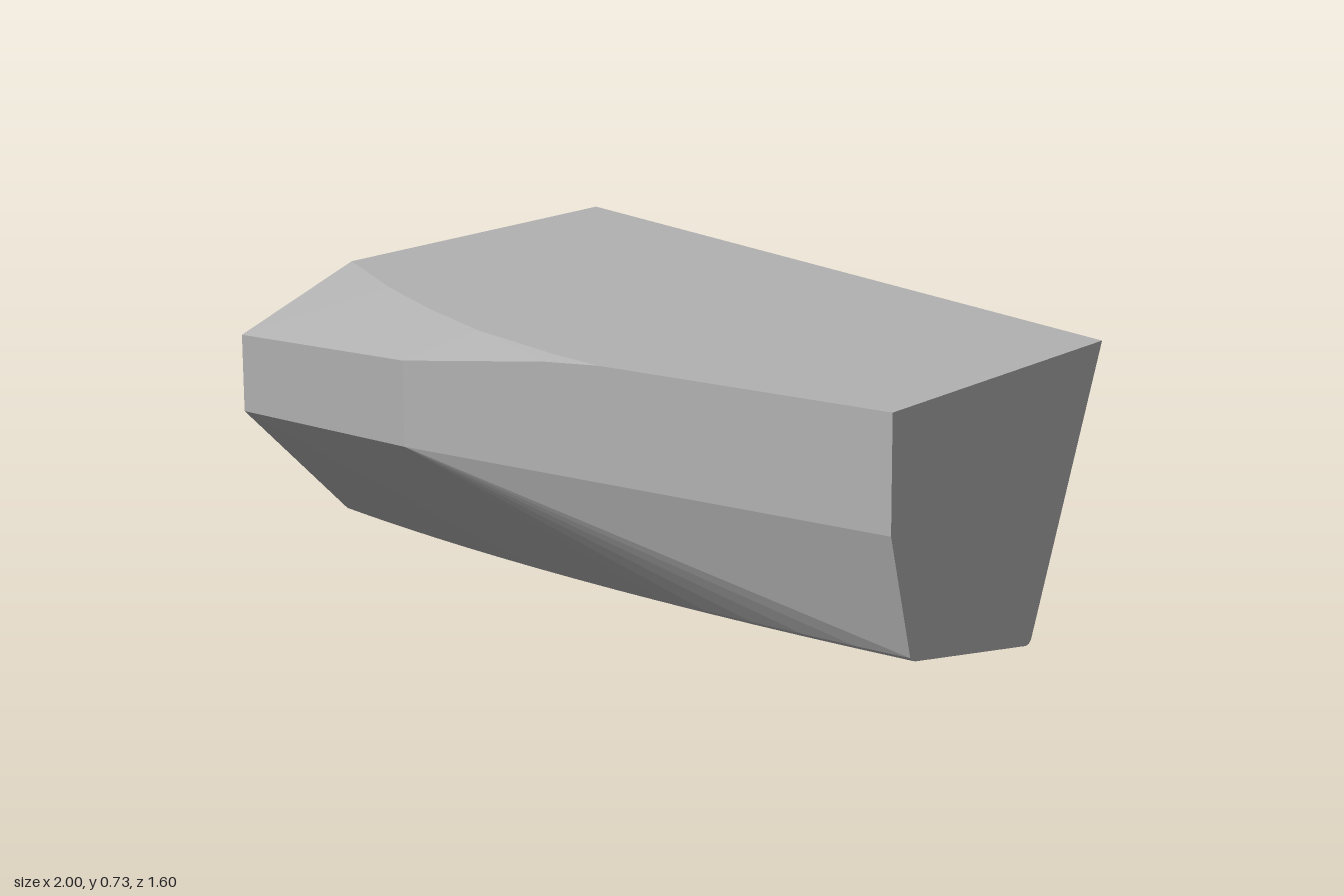
import * as THREE from 'three';
import { ConvexGeometry } from 'three/addons/geometries/ConvexGeometry.js';

export function createModel() {
  const group = new THREE.Group();
  const grey = new THREE.MeshStandardMaterial({ color: 0xb2b2b2 });
  grey.name = 'plainGrey';

  const points = [];
  const add = (x, y, z) => points.push(new THREE.Vector3(x, y, z));
  const floorY = (z) => 0.18 * (z + 0.29); // sloping underside

  // flat top, with the curved edge of the front chamfer
  add(1, 0.73, 0.8);
  add(1, 0.73, -0.06);
  add(-1, 0.73, -0.8);
  for (const [x, z] of [[-1, 0.2], [-0.7, 0.4], [-0.45, 0.543], [-0.2, 0.665], [0.1, 0.765], [0.25, 0.8]]) add(x, 0.73, z);

  // upright front wall and its angled end
  add(-1, 0.61, 0.6);
  add(-0.31, 0.67, 0.8);
  add(0.1, 0.72, 0.8);
  add(-1, 0.42, 0.6);
  add(-0.31, 0.47, 0.8);
  add(1, 0.47, 0.8);

  // curved lower front edge with a narrow bevel
  const steps = 14;
  for (let i = 0; i <= steps; i++) {
    const x = -1 + (2 * i) / steps;
    const z = 0.56 + 0.2365 * x - 0.0965 * x * x;
    add(x, floorY(z), z);
    add(x, floorY(z) + 0.005, z + 0.014);
    add(x, floorY(z) + 0.012, z + 0.02);
  }

  // bevelled lower back edge
  for (const [x, z] of [[1, 0.245], [-1, -0.29]]) {
    add(x, floorY(z), z);
    add(x, floorY(z) + 0.002, z - 0.013);
    add(x, floorY(z) + 0.01, z - 0.022);
  }

  const body = new THREE.Mesh(new ConvexGeometry(points), grey);
  body.name = 'facetedBody';
  group.add(body);
  return group;
}
